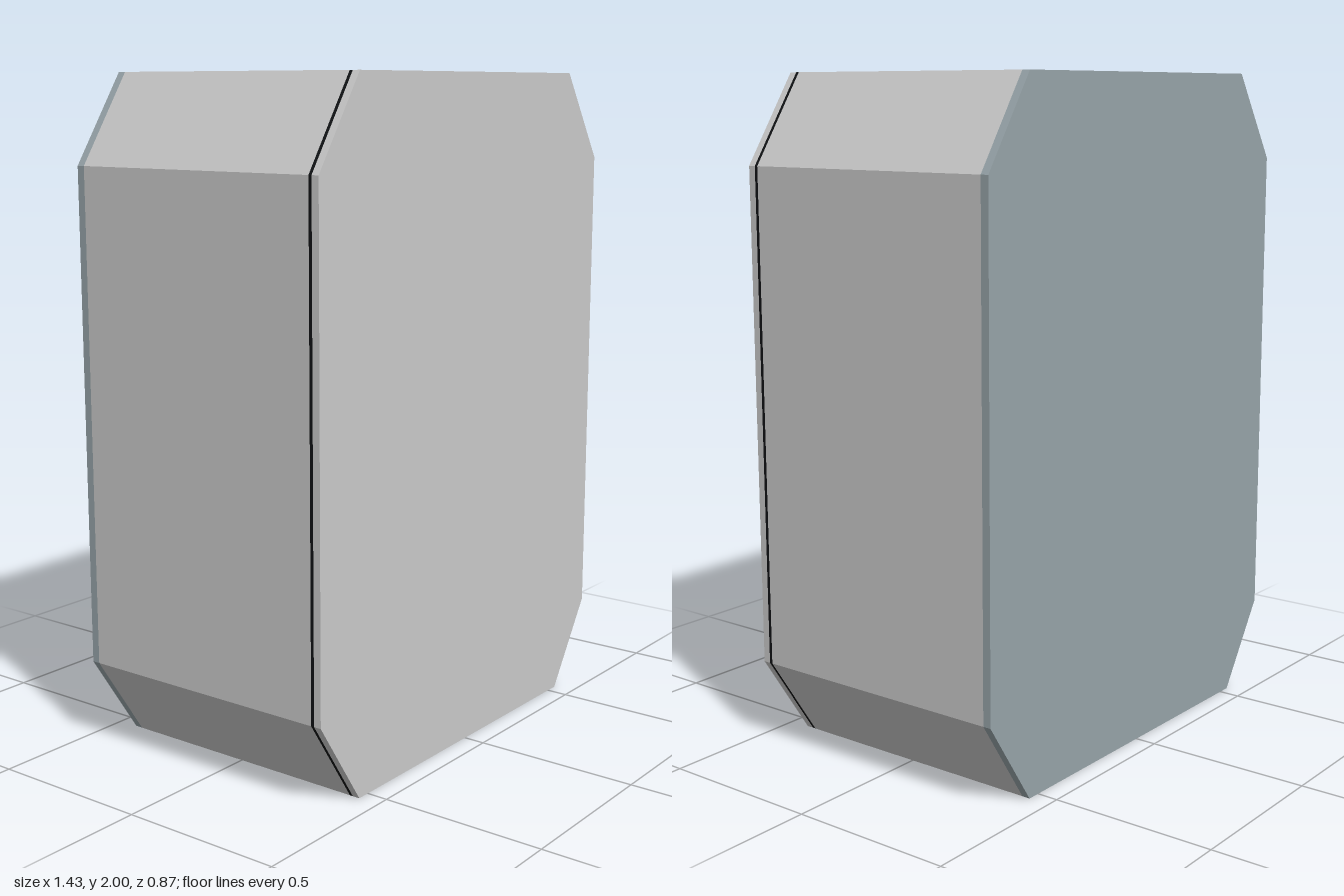
import * as THREE from 'three';

// Chamfered outline, counter-clockwise from the right end of the bottom edge
const W = 0.713, IN = 0.54, CUT = 0.262, H = 2;
const outline = [
  [IN, 0], [W, CUT], [W, H - CUT], [IN, H],
  [-IN, H], [-W, H - CUT], [-W, CUT], [-IN, 0],
].map(([x, y]) => new THREE.Vector2(x, y));

const grey = new THREE.MeshStandardMaterial({ color: 0xcccccc });
const blueGrey = new THREE.MeshStandardMaterial({ color: 0x98a5aa });
const black = new THREE.MeshStandardMaterial({ color: 0x101214 });

function add(group, name, geometry, material) {
  const mesh = new THREE.Mesh(geometry, material);
  mesh.name = name;
  group.add(mesh);
  return mesh;
}

// Flat-sided band following the outline between two depths
function band(z0, z1, edges) {
  const pos = [];
  for (let i = 0; i < edges; i++) {
    const a = outline[i], b = outline[(i + 1) % outline.length];
    pos.push(a.x, a.y, z0, b.x, b.y, z0, b.x, b.y, z1);
    pos.push(a.x, a.y, z0, b.x, b.y, z1, a.x, a.y, z1);
  }
  const g = new THREE.BufferGeometry();
  g.setAttribute('position', new THREE.Float32BufferAttribute(pos, 3));
  g.computeVertexNormals();
  return g;
}

// Solid cover plate with the full outline
function plate(z0, z1) {
  const g = new THREE.ExtrudeGeometry(new THREE.Shape(outline), { depth: z1 - z0, bevelEnabled: false });
  return g.translate(0, 0, z0);
}

function rectangle(PathType, x0, x1, y0, y1) {
  return new PathType([[x0, y0], [x1, y0], [x1, y1], [x0, y1]].map(p => new THREE.Vector2(...p)));
}

export function createModel() {
  const model = new THREE.Group();
  model.name = 'chamferedCase';
  const front = 0.435, seam = 0.412, bodyFront = 0.402, bodyBack = -0.41;

  // Front and back covers, with a dark seam behind the front one
  add(model, 'frontCover', plate(seam, front), grey);
  add(model, 'frontSeam', band(bodyFront, seam, 8), black);
  add(model, 'backCover', plate(-front, bodyBack), blueGrey);

  // Body walls on every edge but the bottom
  add(model, 'bodyShell', band(bodyBack, bodyFront, 7), grey);

  // Bottom wall with a shallow rectangular window
  const x0 = -0.35, x1 = 0.37, z0 = -0.28, z1 = 0.04, deep = 0.03;
  const bottom = rectangle(THREE.Shape, -IN, IN, bodyBack, bodyFront);
  bottom.holes.push(rectangle(THREE.Path, x0, x1, z0, z1));
  const wall = new THREE.ExtrudeGeometry(bottom, { depth: deep, bevelEnabled: false });
  wall.rotateX(Math.PI / 2).translate(0, deep, 0);
  add(model, 'bottomWall', wall, grey);

  // Window pane and the dark gap along its front edge
  const pane = new THREE.PlaneGeometry(x1 - x0, z1 - z0).rotateX(Math.PI / 2);
  add(model, 'windowPane', pane, blueGrey).position.set((x0 + x1) / 2, deep, (z0 + z1) / 2);
  const gap = new THREE.PlaneGeometry(x1 - x0, 0.025).rotateX(Math.PI / 2);
  add(model, 'windowGap', gap, black).position.set((x0 + x1) / 2, deep - 0.003, z1 - 0.0125);

  return model;
}
